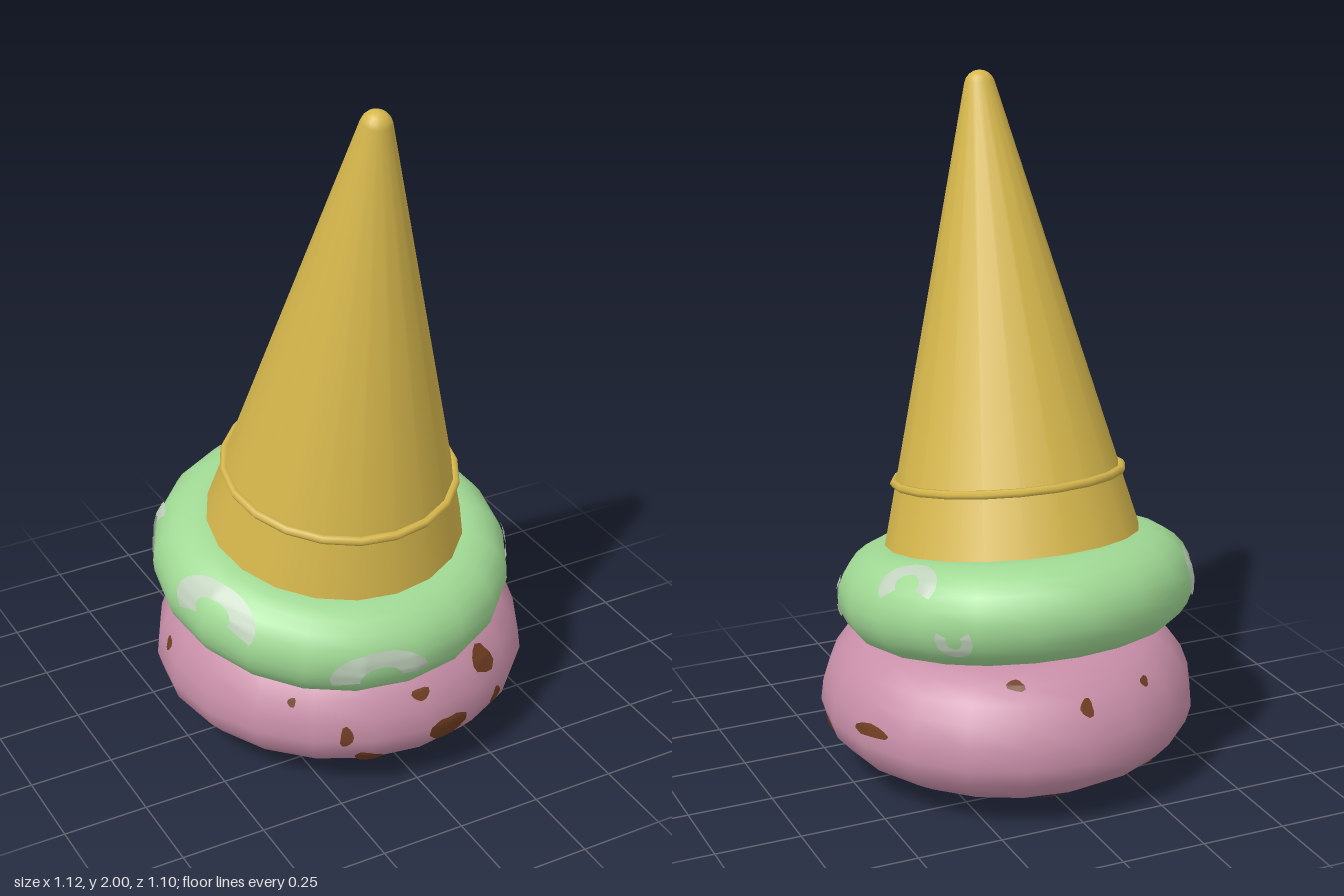
import * as THREE from 'three';

const SIDES = 20;
const STEP = 15; // degrees between profile points
const rad = THREE.MathUtils.degToRad;

const gold = new THREE.MeshStandardMaterial({ color: 0xd6b74c });
const mint = new THREE.MeshStandardMaterial({ color: 0xa0d994 });
const pink = new THREE.MeshStandardMaterial({ color: 0xc88fa8 });
const brown = new THREE.MeshStandardMaterial({ color: 0x713e22, side: THREE.DoubleSide });
const pale = new THREE.MeshStandardMaterial({ color: 0xbfd0bb, side: THREE.DoubleSide });
gold.name = 'waffle gold';
mint.name = 'mint green';
pink.name = 'berry pink';
brown.name = 'chocolate brown';
pale.name = 'pale swirl';

// Rounded rim profiles: angle -90 is underneath, 0 the widest point, 90 the top
const mintProfile = (d) => new THREE.Vector2(0.37 + 0.155 * Math.cos(rad(d)), 0.147 * Math.sin(rad(d)));
const pinkProfile = (d) => {
  const c = Math.cos(rad(d)), s = Math.sin(rad(d));
  return d > 0 ? new THREE.Vector2(0.33 + 0.22 * c, 0.2 + 0.24 * s)
    : new THREE.Vector2(0.12 + 0.43 * c, 0.2 + 0.2 * s);
};

function part(parent, name, geometry, material) {
  const mesh = new THREE.Mesh(geometry, material);
  mesh.name = name;
  parent.add(mesh);
  return mesh;
}

function scoopGeometry(profile) {
  const pts = [];
  for (let d = -90; d <= 90; d += STEP) pts.push(profile(d));
  pts.push(new THREE.Vector2(0, pts[pts.length - 1].y));
  return new THREE.LatheGeometry(pts, SIDES);
}

// Point on the faceted scoop, raised slightly off the surface
function surfacePoint(profile, around, d, lift) {
  d = THREE.MathUtils.clamp(d, -90, 90);
  const d0 = Math.floor(d / STEP) * STEP;
  const p = profile(d0).lerp(profile(Math.min(90, d0 + STEP)), (d - d0) / STEP);
  const r = p.x + lift * Math.cos(rad(d));
  const seg = 360 / SIDES, a0 = Math.floor(around / seg) * seg, t = (around - a0) / seg;
  const at = (a) => new THREE.Vector3(r * Math.sin(rad(a)), p.y + lift * Math.sin(rad(d)), r * Math.cos(rad(a)));
  return at(a0).lerp(at(a0 + seg), t);
}

// Wraps a flat geometry of unit size onto a scoop, w and h being half sizes
function wrap(geometry, profile, around, d, w, h) {
  const pos = geometry.attributes.position;
  const radius = profile(d).x;
  const perDegree = profile(d + 1).distanceTo(profile(d - 1)) / 2;
  for (let i = 0; i < pos.count; i++) {
    const a = around + THREE.MathUtils.radToDeg((pos.getX(i) * w) / radius);
    const q = surfacePoint(profile, a, d + (pos.getY(i) * h) / perDegree, 0.006);
    pos.setXYZ(i, q.x, q.y, q.z);
  }
  geometry.computeVertexNormals();
  return geometry;
}

// Irregular chip outline
function chipGeometry(seed) {
  const g = new THREE.RingGeometry(0.01, 1, 12, 3);
  const pos = g.attributes.position;
  for (let i = 0; i < pos.count; i++) {
    const x = pos.getX(i), y = pos.getY(i), a = Math.atan2(y, x);
    const k = 1 + 0.13 * Math.sin(3 * a + seed) + 0.1 * Math.cos(2 * a + seed * 2);
    pos.setXY(i, x * k, y * k);
  }
  return g;
}

export function createModel() {
  const model = new THREE.Group();
  model.name = 'upturnedIceCream';

  // Lower scoop with a small flat underneath
  const lower = new THREE.Group();
  lower.name = 'lowerScoop';
  lower.position.x = 0.01;
  model.add(lower);
  part(lower, 'pinkScoop', scoopGeometry(pinkProfile), pink);
  const base = part(lower, 'scoopBase', new THREE.CircleGeometry(0.12, SIDES), pink);
  base.rotation.x = Math.PI / 2;
  base.position.y = 0.002;

  // Chocolate chips: around, profile angle, half width, half height
  [
    [7, -6, 0.062, 0.045], [-19, -22, 0.042, 0.042], [-26, 4, 0.02, 0.032],
    [29, -4, 0.023, 0.028], [25, 30, 0.045, 0.045], [-43, 27, 0.013, 0.013],
    [-2, 28, 0.026, 0.02], [70, -30, 0.012, 0.014], [77, -24, 0.05, 0.048],
    [111, 12, 0.062, 0.02], [159, 60, 0.025, 0.02], [182, 38, 0.022, 0.025],
    [208, 42, 0.016, 0.016], [262, 22, 0.018, 0.022], [123, -58, 0.018, 0.025],
    [172, -42, 0.04, 0.028], [215, -37, 0.02, 0.025], [247, -70, 0.025, 0.02],
    [45, -80, 0.015, 0.014], [64, -64, 0.025, 0.02], [-2, -73, 0.035, 0.022],
  ].forEach(([a, d, w, h], i) => {
    part(lower, 'chocolateChip', wrap(chipGeometry(i), pinkProfile, a, d, w, h), brown);
  });

  // Upper scoop and cone share one forward tilt
  const upper = new THREE.Group();
  upper.name = 'upperScoopAndCone';
  upper.position.set(-0.033, 0.525, 0.03);
  upper.rotation.x = rad(10);
  model.add(upper);
  part(upper, 'mintScoop', scoopGeometry(mintProfile), mint);

  // Pale crescents: around, profile angle, half sizes, arc start and length
  [
    [-12, -6, 0.145, 0.085, 0, 200], [-70, 28, 0.15, 0.085, -20, 240],
    [71, 3, 0.06, 0.06, 60, 250], [118, 42, 0.1, 0.075, -30, 250],
    [136, -18, 0.055, 0.055, 150, 240], [238, 8, 0.08, 0.075, 70, 260],
  ].forEach(([a, d, w, h, start, length]) => {
    const arc = new THREE.RingGeometry(0.42, 1, 28, 4, rad(start), rad(length));
    part(upper, 'paleSwirl', wrap(arc, mintProfile, a, d, w, h), pale);
  });

  // Cone with a rounded tip
  const cone = [new THREE.Vector2(0.387, 0.1), new THREE.Vector2(0.376, 0.145)];
  for (let d = 14; d <= 90; d += 19) {
    cone.push(new THREE.Vector2(Math.max(0, 0.045 * Math.cos(rad(d))), 1.452 + 0.045 * Math.sin(rad(d))));
  }
  part(upper, 'cone', new THREE.LatheGeometry(cone, SIDES), gold);

  // Raised bead round the cone
  const bead = part(upper, 'coneBead', new THREE.TorusGeometry(0.334, 0.013, 6, SIDES), gold);
  bead.rotation.x = Math.PI / 2;
  bead.position.y = 0.328;

  return model;
}
